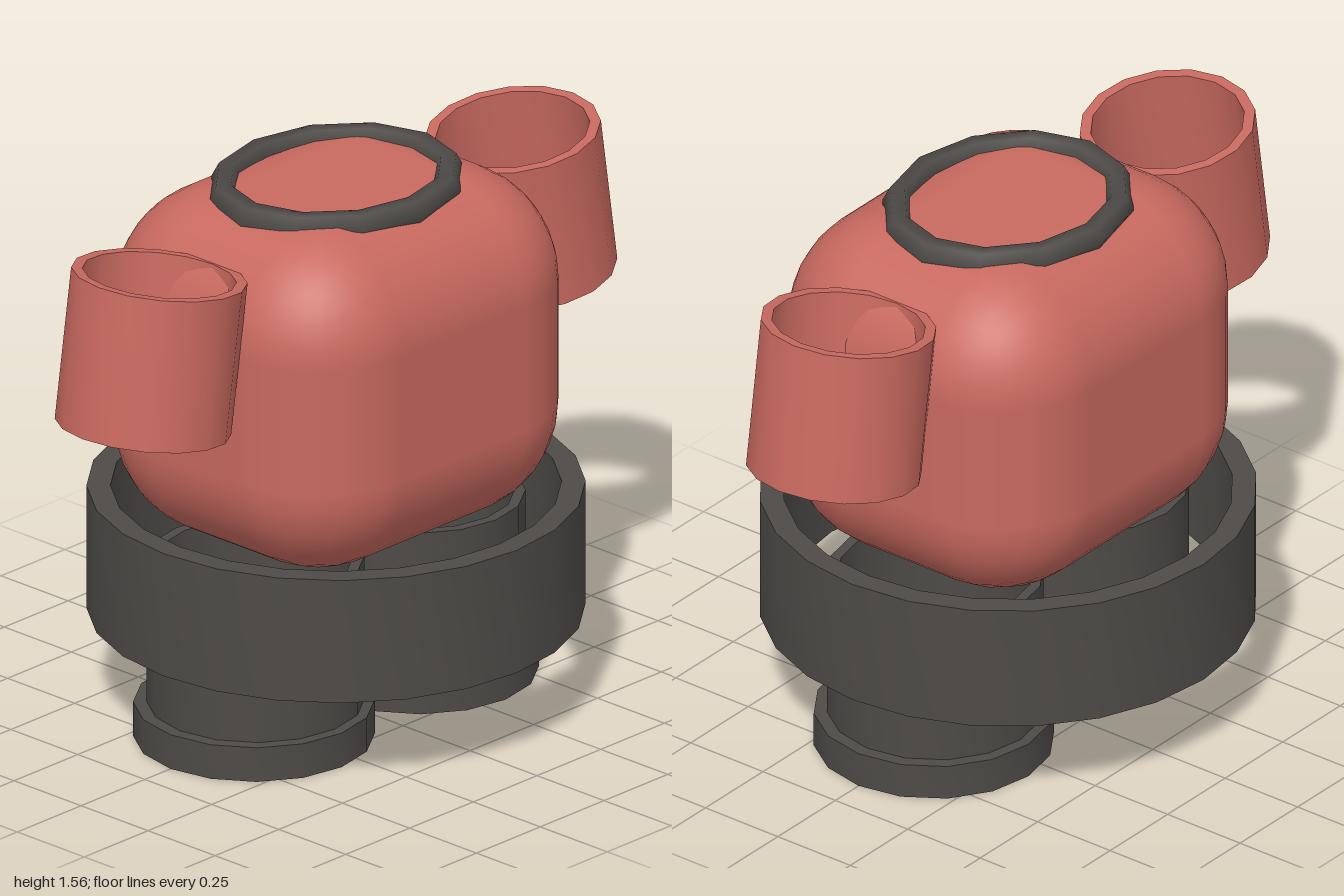
import * as THREE from 'three';
import { toCreasedNormals } from 'three/addons/utils/BufferGeometryUtils.js';
import { RoundedBoxGeometry } from 'three/addons/geometries/RoundedBoxGeometry.js';

const red = new THREE.MeshStandardMaterial({ color: 0xc8695f });
const dark = new THREE.MeshStandardMaterial({ color: 0x4d4a47 });

// Hollow pipe with flat rims, running from y0 to y1
function pipe(outer, inner, y0, y1, sides) {
  const profile = [[outer, y0], [outer, y1], [inner, y1], [inner, y0], [outer, y0]]
    .map(([r, y]) => new THREE.Vector2(r, y));
  return toCreasedNormals(new THREE.LatheGeometry(profile, sides), 0.6);
}

export function createModel() {
  const model = new THREE.Group();
  const add = (name, geometry, material, x = 0, y = 0) => {
    const mesh = new THREE.Mesh(geometry, material);
    mesh.name = name;
    mesh.position.set(x, y, 0);
    model.add(mesh);
    return mesh;
  };

  // Rounded torso
  add('body', new RoundedBoxGeometry(1.12, 1.0, 0.96, 4, 0.32), red, 0, 1.04);

  // Oval neck ring sunk into the top of the torso
  const collar = new THREE.TorusGeometry(0.335, 0.045, 6, 12);
  collar.rotateX(-Math.PI / 2).scale(1, 1, 0.86);
  add('collar', collar, dark, 0, 1.52);

  // Wide hoop around the waist
  add('waistHoop', pipe(0.675, 0.61, 0.28, 0.64, 24), dark);

  for (const [side, s] of [['left', 1], ['right', -1]]) {
    // Short open sleeve, tilted outward at the bottom
    const sleeve = add(side + 'Sleeve', pipe(0.24, 0.21, -0.215, 0.215, 16), red, s * 0.725, 1.252);
    sleeve.rotation.z = s * 0.15;

    // Hollow leg with a thicker cuff at the foot
    add(side + 'Leg', pipe(0.295, 0.265, 0.02, 0.52, 16), dark, s * 0.316);
    add(side + 'Cuff', pipe(0.327, 0.275, 0, 0.1, 16), dark, s * 0.322);
  }

  return model;
}
